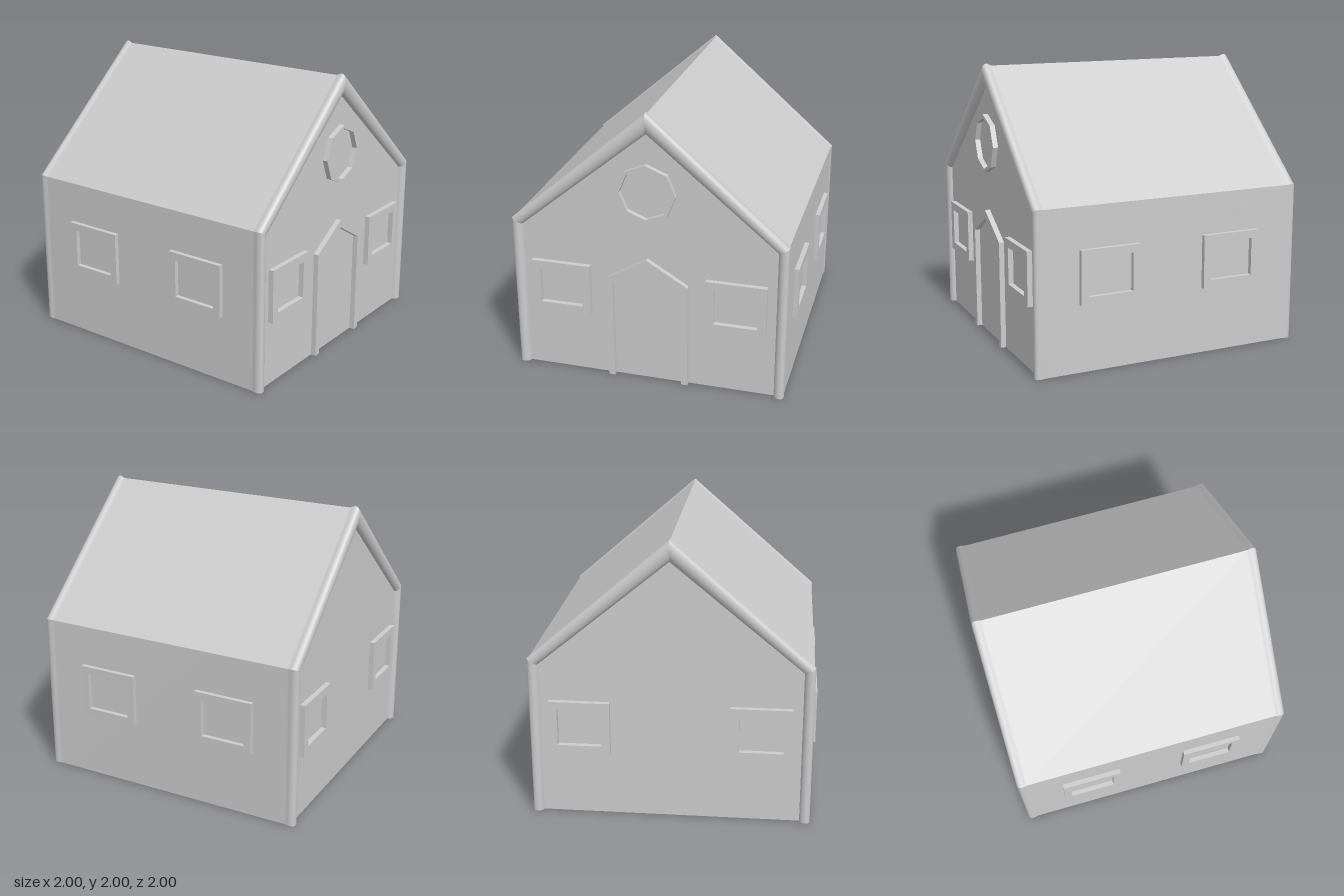
import * as THREE from 'three';

const material = new THREE.MeshStandardMaterial({ color: 0xcccccc, side: THREE.DoubleSide });
const WALL_Z = 0.962;

// House outline; s = 0 is the outer edge of the rim, s = 1 its inner edge
function outline(s) {
  const x = 0.975 - 0.073 * s, eave = 1.15 - 0.045 * s, ridge = 2 - 0.15 * s;
  return [[x, 0], [x, eave], [0, ridge], [-x, eave], [-x, 0]];
}

// Rim section as [s, z], from the wall around the rolled edge to the gable
const rim = [[0.1, 0.925], [0.06, 0.94], [0.01, 0.955], [0, 0.968], [0.05, 0.985],
  [0.18, 0.995], [0.4, 0.999], [0.6, 0.997], [0.8, 0.989], [0.93, 0.977], [1, WALL_Z]];
const sections = [...rim.map(([s, z]) => [s, -z]).reverse(), ...rim];

// One smooth panel of the shell, lofted from the back rim to the front rim
function shellPanel(k) {
  const pos = [], index = [];
  sections.forEach(([s, z], i) => {
    const o = outline(s);
    pos.push(...o[k], z, ...o[k + 1], z);
    if (i < sections.length - 1) {
      const a = i * 2;
      index.push(a, a + 1, a + 2, a + 1, a + 3, a + 2);
    }
  });
  const g = new THREE.BufferGeometry();
  g.setAttribute('position', new THREE.Float32BufferAttribute(pos, 3));
  g.setIndex(index);
  g.computeVertexNormals();
  return g;
}

const toPoints = (list) => list.map(([x, y]) => new THREE.Vector2(x, y));
const rect = (w, h) => [[-w / 2, -h / 2], [w / 2, -h / 2], [w / 2, h / 2], [-w / 2, h / 2]];
const octagon = (r) => Array.from({ length: 8 }, (_, i) =>
  [r * Math.sin(i * Math.PI / 4), r * Math.cos(i * Math.PI / 4)]);

// Trim standing out on both sides of a wall, centred on its depth
function frameGeometry(outer, inner, depth) {
  const shape = new THREE.Shape(toPoints(outer));
  if (inner) shape.holes.push(new THREE.Path(toPoints(inner)));
  const g = new THREE.ExtrudeGeometry(shape, { depth, bevelEnabled: false });
  return g.translate(0, 0, -depth / 2);
}

export function createModel() {
  const house = new THREE.Group();
  house.name = 'house';
  const add = (name, geometry, x = 0, y = 0, z = 0, turn = 0) => {
    const mesh = new THREE.Mesh(geometry, material);
    mesh.name = name;
    mesh.position.set(x, y, z);
    mesh.rotation.y = turn;
    house.add(mesh);
  };

  // Side walls and roof slopes with their rolled rims
  ['leftWall', 'leftRoof', 'rightRoof', 'rightWall'].forEach((name, k) => add(name, shellPanel(k)));

  // Recessed gable walls
  const gable = new THREE.ShapeGeometry(new THREE.Shape(toPoints(outline(1))));
  add('frontGable', gable, 0, 0, WALL_Z);
  add('backGable', gable, 0, 0, -WALL_Z, Math.PI);

  // Window frames: two on every wall
  const gableWindow = frameGeometry(rect(0.425, 0.38), rect(0.305, 0.262), 0.075);
  const sideWindow = frameGeometry(rect(0.435, 0.38), rect(0.325, 0.268), 0.07);
  for (const a of [-1, 1]) {
    for (const b of [-1, 1]) {
      add(b > 0 ? 'frontWindow' : 'backWindow', gableWindow, a * 0.626, 0.655, b * WALL_Z, b > 0 ? 0 : Math.PI);
      add(a > 0 ? 'leftWindow' : 'rightWindow', sideWindow, a * 0.965, 0.665, b * 0.463, a * Math.PI / 2);
    }
  }

  // Round window in the front gable
  add('atticWindow', frameGeometry(octagon(0.209), octagon(0.184), 0.075), 0, 1.435, WALL_Z);

  // Pointed door surround, open at the ground
  const door = [[-0.29, 0], [-0.29, 0.775], [0, 0.95], [0.29, 0.775], [0.29, 0],
    [0.245, 0], [0.245, 0.748], [0, 0.893], [-0.245, 0.748], [-0.245, 0]];
  add('doorFrame', frameGeometry(door, null, 0.075), 0, 0, WALL_Z);

  return house;
}
